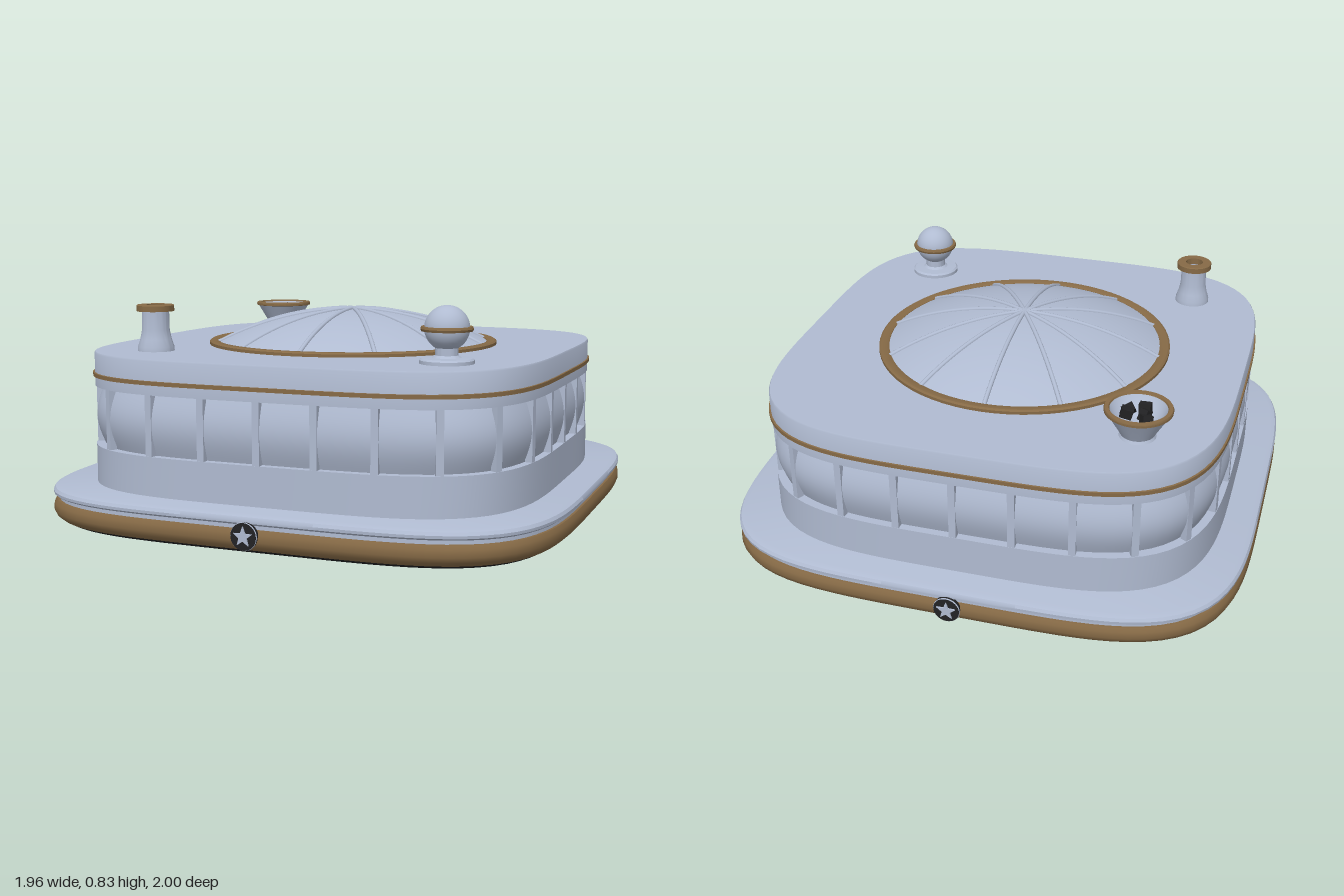
import * as THREE from 'three';
import { toCreasedNormals } from 'three/addons/utils/BufferGeometryUtils.js';

const material = (name, color, extra = {}) => {
  const m = new THREE.MeshStandardMaterial({ color, ...extra });
  m.name = name;
  return m;
};

// Point on a rounded-square outline of half width h and squareness n
function outline(h, n, t) {
  const c = Math.cos(t), s = Math.sin(t);
  const r = h / Math.pow(Math.abs(c) ** n + Math.abs(s) ** n, 1 / n);
  return [r * c, r * s];
}

// Rounded-square solid from [halfWidth, y] pairs listed from bottom to top
function loft(profile, n, segs = 128) {
  const pos = [], idx = [];
  for (const [h, y] of profile) {
    for (let j = 0; j < segs; j++) {
      const [x, z] = outline(h, n, (j / segs) * Math.PI * 2);
      pos.push(x, y, z);
    }
  }
  for (let i = 0; i < profile.length - 1; i++) {
    for (let j = 0; j < segs; j++) {
      const k = (j + 1) % segs, a = i * segs, b = a + segs;
      if (profile[i][0] > 0) idx.push(a + j, b + j, a + k);
      if (profile[i + 1][0] > 0) idx.push(a + k, b + j, b + k);
    }
  }
  const g = new THREE.BufferGeometry();
  g.setAttribute('position', new THREE.Float32BufferAttribute(pos, 3));
  g.setIndex(idx);
  return toCreasedNormals(g, 0.6);
}

const lathe = (pts, segs = 48) =>
  toCreasedNormals(new THREE.LatheGeometry(pts.map(p => new THREE.Vector2(...p)), segs), 0.6);

export function createModel() {
  const pale = material('pale steel', 0xb0bbd1);
  const brass = material('brown brass', 0x866a46);
  const dark = material('dark underside', 0x222224);

  const model = new THREE.Group();
  const add = (name, geo, mat, parent = model) => {
    const m = new THREE.Mesh(geo, mat);
    m.name = name;
    parent.add(m);
    return m;
  };
  const group = (name, x, y, z) => {
    const g = new THREE.Group();
    g.name = name;
    g.position.set(x, y, z);
    model.add(g);
    return g;
  };

  // Base slab: dark bottom, brass belt, thin reveal, pale lip
  add('baseBottom', loft([[0, 0], [0.9, 0], [0.935, 0.008], [0.955, 0.02]], 4.5), dark);
  add('baseBelt', loft([[0.955, 0.02], [0.972, 0.036], [0.98, 0.055], [0.978, 0.08], [0.97, 0.094], [0.93, 0.096]], 4.5), brass);
  add('baseReveal', loft([[0.962, 0.09], [0.962, 0.118]], 4.5), pale);
  add('baseLip', loft([[0.94, 0.109], [0.97, 0.11], [0.979, 0.117], [0.98, 0.127], [0.974, 0.138], [0.955, 0.145], [0, 0.145]], 4.5), pale);

  // Body walls, bulging window band and brass trim
  add('lowerWall', loft([[0.86, 0.14], [0.86, 0.287], [0.81, 0.287]], 4), pale);
  add('upperWall', loft([[0.81, 0.506], [0.86, 0.506], [0.86, 0.626], [0.857, 0.632], [0, 0.632]], 4), pale);
  add('bodyTrim', loft([[0.85, 0.54], [0.866, 0.542], [0.866, 0.556], [0.85, 0.558]], 4), brass);
  const band = [];
  for (let i = 0; i <= 12; i++) {
    const u = i / 12;
    band.push([0.83 + 0.026 * Math.sin(u * Math.PI), 0.285 + 0.223 * u]);
  }
  add('windowBand', loft(band, 4), pale);

  // Window posts spaced evenly around the band
  const path = [];
  for (let j = 0; j < 256; j++) {
    const [x, z] = outline(0.846, 4, (j / 256) * Math.PI * 2);
    path.push(new THREE.Vector3(x, 0.396, z));
  }
  const curve = new THREE.CatmullRomCurve3(path, true);
  curve.arcLengthDivisions = 1024;
  const postGeo = new THREE.BoxGeometry(0.026, 0.224, 0.026);
  const posts = 28;
  for (let i = 0; i < posts; i++) {
    const u = (i + 0.08) / posts;
    const t = curve.getTangentAt(u);
    const post = add('windowPost', postGeo, pale);
    post.position.copy(curve.getPointAt(u));
    post.rotation.y = Math.atan2(-t.z, t.x);
  }

  // Shallow ribbed dome with brass collar
  const R = 0.53, H = 0.125, base = 0.64;
  const sphereR = (R * R + H * H) / (2 * H);
  const domeY = r => base + H - sphereR + Math.sqrt(sphereR * sphereR - r * r);
  const domePts = [];
  for (let i = 0; i <= 16; i++) domePts.push([R * (1 - i / 16), domeY(R * (1 - i / 16))]);
  add('dome', lathe(domePts, 72), pale);
  add('domeCollar', lathe([[0.565, 0.63], [0.565, 0.643], [0.558, 0.648], [0.535, 0.648], [0.526, 0.643], [0.526, 0.63]], 72), brass);
  const ribPts = [];
  for (let i = -8; i <= 8; i++) ribPts.push(new THREE.Vector3((R * i) / 8, domeY((R * Math.abs(i)) / 8), 0));
  const ribGeo = new THREE.TubeGeometry(new THREE.CatmullRomCurve3(ribPts), 40, 0.009, 8);
  for (let i = 0; i < 6; i++) add('domeRib', ribGeo, pale).rotation.y = (i * Math.PI) / 6;

  // Ball finial on a round foot
  const ball = group('ballFinial', 0.565, 0.63, 0.565);
  add('ballFoot', lathe([[0.095, 0], [0.095, 0.014], [0.088, 0.02], [0.05, 0.022], [0.04, 0.03], [0.04, 0.06]]), pale, ball);
  add('ball', new THREE.SphereGeometry(0.078, 40, 24), pale, ball).position.y = 0.122;
  add('ballRing', lathe([[0.07, 0.112], [0.088, 0.112], [0.091, 0.12], [0.088, 0.128], [0.07, 0.128]]), brass, ball);

  // Hollow chimney
  const chimney = group('chimney', -0.565, 0.63, 0.565);
  add('chimneyPipe', lathe([[0.068, 0], [0.067, 0.018], [0.058, 0.045], [0.051, 0.08], [0.05, 0.155]]), pale, chimney);
  add('chimneyCap', lathe([[0.048, 0.148], [0.069, 0.149], [0.069, 0.17], [0.066, 0.173], [0.034, 0.173], [0.034, 0.148]]), brass, chimney);
  add('chimneyBore', lathe([[0.034, 0.15], [0.034, 0.06], [0, 0.06]]), pale, chimney);

  // Flared bowl holding dark lumps
  const bowl = group('bowl', -0.565, 0.63, -0.57);
  add('bowlShell', lathe([[0.066, 0], [0.06, 0.012], [0.07, 0.03], [0.112, 0.1]]), pale, bowl);
  add('bowlInside', lathe([[0.1, 0.108], [0.08, 0.075], [0.055, 0.055], [0, 0.048]]), pale, bowl);
  add('bowlRim', lathe([[0.106, 0.097], [0.119, 0.1], [0.12, 0.108], [0.117, 0.114], [0.103, 0.114], [0.098, 0.104]]), brass, bowl);
  const lumpGeo = new THREE.BoxGeometry(0.036, 0.03, 0.042);
  const lumps = [[-0.03, -0.015, 0.3], [0.042, 0.005, 1.1], [-0.015, 0.045, 0.9], [-0.02, 0.01, 2.0], [0.04, 0.028, 2.4]];
  lumps.forEach(([x, z, a], i) => {
    const lump = add('lump', lumpGeo, dark, bowl);
    lump.position.set(x, 0.078 + 0.005 * (i % 3), z);
    lump.rotation.set(a, a * 1.7, 0.4 * i);
  });

  // Star badges on front and back of the base
  const star = new THREE.Shape();
  for (let i = 0; i < 10; i++) {
    const r = i % 2 ? 0.015 : 0.036, a = Math.PI / 2 + (i * Math.PI) / 5;
    star[i ? 'lineTo' : 'moveTo'](r * Math.cos(a), r * Math.sin(a));
  }
  const starGeo = new THREE.ExtrudeGeometry(star, { depth: 0.006, bevelEnabled: false });
  const discGeo = new THREE.CylinderGeometry(0.047, 0.047, 0.02, 32).rotateX(Math.PI / 2);
  for (const side of [1, -1]) {
    const badge = group(side > 0 ? 'frontBadge' : 'backBadge', 0, 0.075, side * 0.984);
    if (side < 0) badge.rotation.y = Math.PI;
    add('badgeDisc', discGeo, dark, badge);
    add('badgeRim', new THREE.TorusGeometry(0.045, 0.004, 8, 32), pale, badge).position.z = 0.006;
    add('badgeStar', starGeo, pale, badge).position.z = 0.01;
  }
  return model;
}
